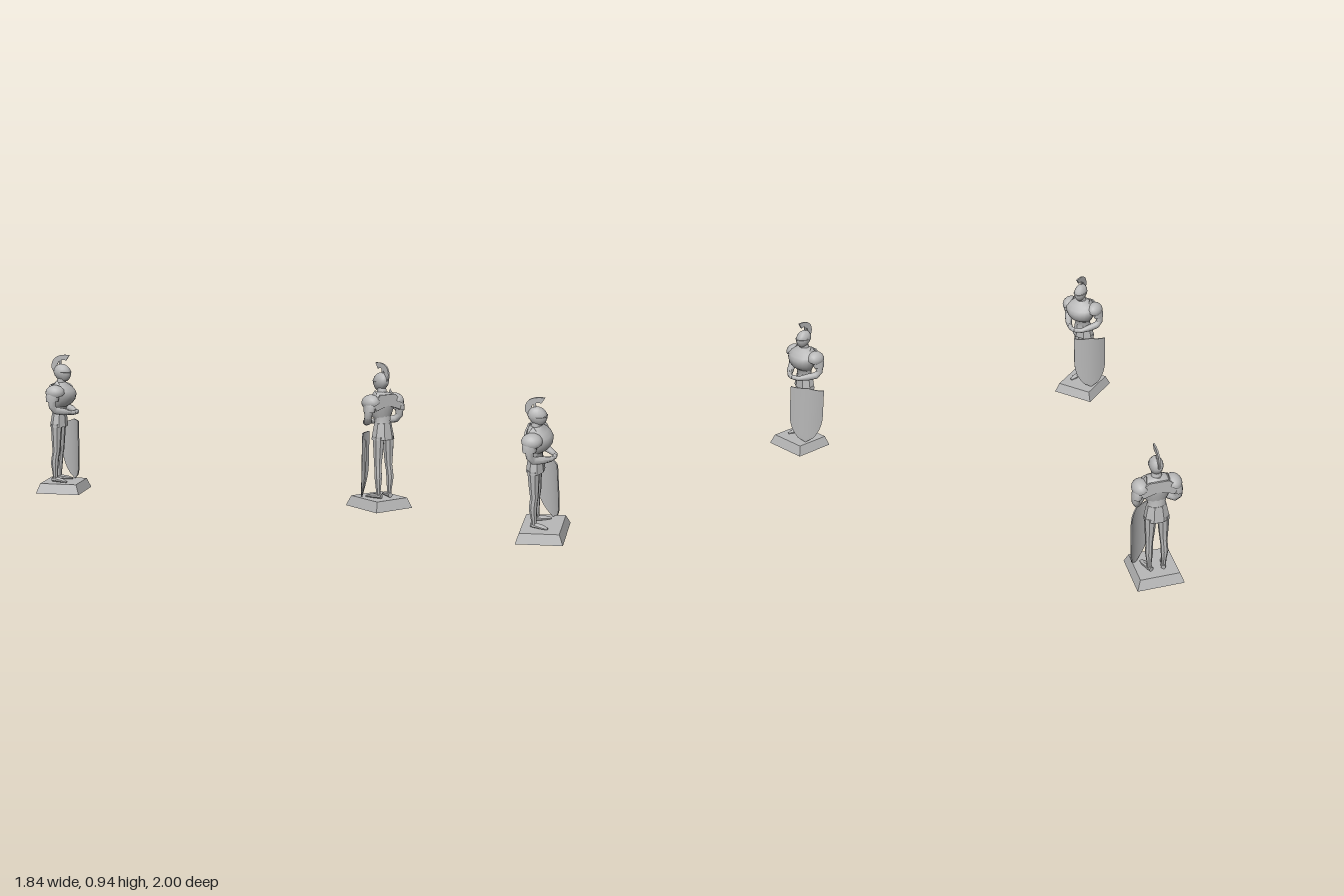
import * as THREE from 'three';
import { toCreasedNormals } from 'three/addons/utils/BufferGeometryUtils.js';

const stone = new THREE.MeshStandardMaterial({ color: 0xb8b8b8, side: THREE.DoubleSide });
stone.name = 'stone grey';

function add(parent, name, geometry, crease = 0.7) {
  const mesh = new THREE.Mesh(toCreasedNormals(geometry, crease), stone);
  mesh.name = name;
  parent.add(mesh);
  return mesh;
}

// Closed skin over elliptical rings [x, y, z, rx, rz]; rings lie level or follow the path
function loft(rings, sides, level = true) {
  const pos = [], idx = [], up = new THREE.Vector3(0, 1, 0), n = rings.length;
  const at = i => new THREE.Vector3(...rings[Math.min(n - 1, Math.max(0, i))].slice(0, 3));
  rings.forEach(([x, y, z, rx, rz = rx], i) => {
    const q = new THREE.Quaternion();
    if (!level) q.setFromUnitVectors(up, at(i + 1).sub(at(i - 1)).normalize());
    for (let j = 0; j < sides; j++) {
      const a = (j + 0.5) / sides * Math.PI * 2;
      const p = new THREE.Vector3(Math.cos(a) * rx, 0, Math.sin(a) * rz).applyQuaternion(q);
      pos.push(p.x + x, p.y + y, p.z + z);
    }
  });
  pos.push(...at(0).toArray(), ...at(n - 1).toArray());
  for (let j = 0; j < sides; j++) {
    const k = (j + 1) % sides, top = (n - 1) * sides;
    for (let i = 0; i < n - 1; i++) {
      const a = i * sides + j, b = i * sides + k;
      idx.push(a, a + sides, b, b, a + sides, b + sides);
    }
    idx.push(n * sides, j, k, n * sides + 1, top + k, top + j);
  }
  const g = new THREE.BufferGeometry();
  g.setAttribute('position', new THREE.Float32BufferAttribute(pos, 3));
  g.setIndex(idx);
  g.computeVertexNormals();
  return g;
}

// Hollow tapered plinth, open underneath
function buildPlinth(g) {
  const r = Math.SQRT2;
  const walls = new THREE.CylinderGeometry(0.128 * r, 0.1525 * r, 0.066, 4, 1, true);
  add(g, 'plinthWalls', walls.rotateY(Math.PI / 4).translate(0, 0.033, 0), 0.3);
  add(g, 'plinthTop', new THREE.PlaneGeometry(0.256, 0.256).rotateX(-Math.PI / 2).translate(0, 0.066, 0));
}

// Curved heater shield, resting on its tip
function buildShield(g) {
  const geo = new THREE.BoxGeometry(2, 1, 0.008, 12, 14, 1), p = geo.attributes.position;
  for (let i = 0; i < p.count; i++) {
    const u = p.getX(i), t = p.getY(i) + 0.5;
    const half = 0.118 * (t < 0.5 ? Math.pow(1 - Math.pow(1 - t / 0.5, 2.1), 0.62) : 1);
    const top = 0.472 - 0.014 * u + 0.016 * Math.pow(1 - Math.abs(u), 1.5);
    const x = u * half;
    p.setXYZ(i, x, 0.068 + t * (top - 0.068), p.getZ(i) + 0.03 * (1 - (x / 0.118) ** 2));
  }
  const shield = add(g, 'shield', geo);
  shield.position.set(0.083, 0, 0.03);
  shield.rotation.y = Math.PI / 4;
}

function buildHead(g) {
  add(g, 'neck', loft([[0, 0.735, -0.01, 0.036], [0, 0.795, 0, 0.028]], 10));
  add(g, 'helmet', loft([
    [0, 0.765, 0.012, 0.018, 0.026], [0, 0.78, 0.01, 0.03, 0.043], [0, 0.803, 0.006, 0.039, 0.057],
    [0, 0.825, 0.004, 0.043, 0.062], [0, 0.848, 0.002, 0.039, 0.055], [0, 0.867, 0, 0.028, 0.04],
    [0, 0.878, 0, 0.013, 0.02], [0, 0.881, 0, 0.004, 0.005]], 16), 1);
  // Visor rim around the front of the helmet
  const rim = new THREE.TorusGeometry(0.043, 0.003, 5, 16, Math.PI);
  add(g, 'visorRim', rim.rotateX(Math.PI / 2).scale(1, 1, 1.42).translate(0, 0.825, 0.004));
  // Plume sweeping up from the back, drawn as z, y
  const s = new THREE.Shape();
  s.moveTo(-0.056, 0.825);
  s.lineTo(-0.07, 0.85);
  s.bezierCurveTo(-0.08, 0.91, -0.04, 0.955, 0.057, 0.942);
  s.lineTo(0.032, 0.904);
  s.bezierCurveTo(0.01, 0.916, -0.03, 0.91, -0.036, 0.855);
  const plume = new THREE.ExtrudeGeometry(s, { depth: 0.01, bevelEnabled: false, curveSegments: 8 });
  add(g, 'plume', plume.translate(0, 0, -0.005).rotateY(-Math.PI / 2));
  add(g, 'plumeHolder', new THREE.BoxGeometry(0.008, 0.035, 0.016).translate(0, 0.89, -0.01));
}

function buildTorso(g) {
  add(g, 'cuirass', loft([
    [0, 0.592, -0.008, 0.066, 0.046], [0, 0.61, 0.004, 0.082, 0.062], [0, 0.64, 0.012, 0.097, 0.077],
    [0, 0.675, 0.013, 0.11, 0.083], [0, 0.7, 0.008, 0.114, 0.078], [0, 0.725, -0.002, 0.1, 0.064],
    [0, 0.745, -0.01, 0.068, 0.046], [0, 0.757, -0.01, 0.036, 0.036]], 18));
  add(g, 'waist', loft([[0, 0.54, -0.022, 0.062, 0.046], [0, 0.57, -0.018, 0.057, 0.042],
    [0, 0.61, -0.005, 0.07, 0.05]], 12));
  add(g, 'skirt', loft([[0, 0.45, -0.026, 0.084, 0.06], [0, 0.5, -0.024, 0.074, 0.054],
    [0, 0.556, -0.022, 0.062, 0.046]], 8), 0.3);
  // Wide angular plate across the upper back
  const back = new THREE.Shape([[-0.12, 0.7], [-0.1, 0.645], [0, 0.675], [0.1, 0.645], [0.12, 0.7],
    [0.06, 0.745], [-0.06, 0.745]].map(c => new THREE.Vector2(...c)));
  const plate = new THREE.ExtrudeGeometry(back, { depth: 0.012, bevelEnabled: false });
  add(g, 'backPlate', plate.rotateX(0.06).translate(0, 0, -0.112));
}

// Arm and leg of one side
function buildLimbs(g, s) {
  const side = s > 0 ? 'left' : 'right';
  add(g, side + 'Leg', loft([
    [0.047 * s, 0.075, -0.045, 0.015, 0.017], [0.047 * s, 0.12, -0.045, 0.015, 0.018],
    [0.05 * s, 0.2, -0.046, 0.024, 0.027], [0.048 * s, 0.245, -0.041, 0.023, 0.026],
    [0.046 * s, 0.28, -0.034, 0.024, 0.027], [0.043 * s, 0.37, -0.033, 0.032, 0.034],
    [0.041 * s, 0.47, -0.03, 0.039, 0.04]], 8), 0.5);
  // Pointed shoe
  const foot = add(g, side + 'Foot', loft([
    [0, 0, -0.028, 0.015, 0.016], [0, 0.0, 0.0, 0.018, 0.018], [0, 0, 0.05, 0.021, 0.013],
    [0, 0, 0.088, 0.01, 0.006]].map(([x, , z, a, b]) => [x, b, z, a, b]), 8, false));
  foot.position.set(0.047 * s, 0.066, -0.04);
  foot.rotation.y = 0.3 * s;

  add(g, side + 'Arm', loft([
    [0.008 * s, 0.553, 0.1, 0.016], [0.045 * s, 0.55, 0.082, 0.016], [0.088 * s, 0.562, 0.035, 0.024],
    [0.12 * s, 0.573, -0.012, 0.025], [0.133 * s, 0.6, -0.03, 0.024], [0.13 * s, 0.65, -0.032, 0.03],
    [0.115 * s, 0.71, -0.025, 0.032]], 10, false));
  add(g, side + 'Hand', new THREE.SphereGeometry(0.02, 10, 8).scale(1.1, 0.85, 0.85)
    .translate(0.012 * s, 0.553, 0.098));
  // Layered shoulder armour: hanging sleeve, dome and upright neck guard
  add(g, side + 'Sleeve', loft([
    [0.127 * s, 0.635, -0.032, 0.03, 0.043], [0.122 * s, 0.668, -0.03, 0.034, 0.047],
    [0.115 * s, 0.7, -0.025, 0.034, 0.045], [0.105 * s, 0.73, -0.02, 0.022, 0.03]], 12));
  const dome = add(g, side + 'Pauldron', new THREE.SphereGeometry(1, 16, 6, 0, Math.PI * 2, 0, 1.75));
  dome.scale.set(0.054, 0.05, 0.066);
  dome.position.set(0.103 * s, 0.695, -0.018);
  dome.rotation.z = -0.45 * s;
  const guard = add(g, side + 'NeckGuard', new THREE.ConeGeometry(0.036, 0.05, 8).scale(0.25, 1, 1));
  guard.position.set(0.068 * s, 0.75, -0.015);
  guard.rotation.z = 0.2 * s;
}

function buildStatue(name, x, z, turn) {
  const g = new THREE.Group();
  g.name = name;
  buildPlinth(g);
  buildShield(g);
  buildHead(g);
  buildTorso(g);
  for (const s of [1, -1]) buildLimbs(g, s);
  g.position.set(x, 0, z);
  g.rotation.y = turn;
  return g;
}

export function createModel() {
  const model = new THREE.Group();
  model.name = 'knightStatues';
  model.add(buildStatue('frontStatue', 0.762, 0.8475, Math.PI));
  model.add(buildStatue('backStatue', -0.70, -0.784, Math.PI / 4));
  return model;
}
